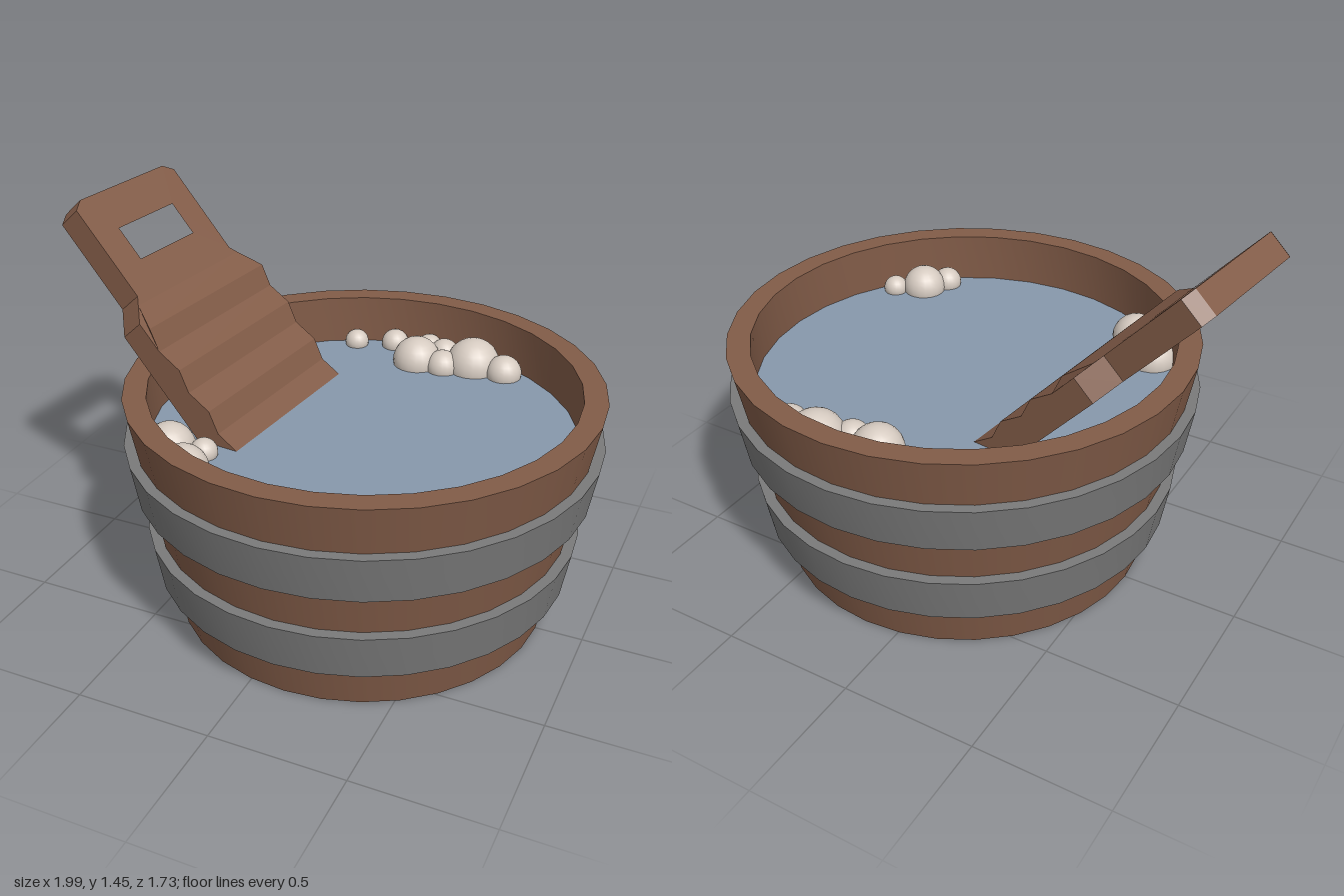
import * as THREE from 'three';
import { toCreasedNormals } from 'three/addons/utils/BufferGeometryUtils.js';

const paint = (name, color) => Object.assign(new THREE.MeshStandardMaterial({ color }), { name });

export function createModel() {
  const wood = paint('wood', 0x825c48);
  const iron = paint('iron', 0x7a7a7a);
  const waterBlue = paint('waterBlue', 0x8798ab);
  const foamWhite = paint('foamWhite', 0xd6cbc1);

  const model = new THREE.Group();
  model.name = 'washtub';
  const tub = new THREE.Group();
  tub.name = 'tub';
  tub.position.x = 0.13;
  model.add(tub);

  const add = (parent, name, geometry, material) => {
    const mesh = new THREE.Mesh(geometry, material);
    mesh.name = name;
    parent.add(mesh);
    return mesh;
  };
  const lathe = (points) => toCreasedNormals(
    new THREE.LatheGeometry(points.map(([r, y]) => new THREE.Vector2(r, y)), 32), 0.5);

  // Tapered wooden wall with a flat rim and straight inside
  add(tub, 'barrel', lathe([[0, 0], [0.695, 0], [0.86, 0.875], [0.775, 0.875], [0.775, 0.66]]), wood);

  // Two tapered hoops standing proud of the wall
  for (const [name, low, high, rLow, rHigh] of [
    ['lowerHoop', 0.17, 0.345, 0.77, 0.8],
    ['upperHoop', 0.52, 0.695, 0.835, 0.865],
  ]) {
    add(tub, name, lathe([[rLow - 0.06, low], [rLow, low], [rHigh, high], [rHigh - 0.06, high]]), iron);
  }

  // Water surface
  const water = add(tub, 'water', new THREE.CircleGeometry(0.776, 32), waterBlue);
  water.rotation.x = -Math.PI / 2;
  water.position.y = 0.685;

  // Foam bubbles floating against the wall: x, z, radius
  const foam = new THREE.Group();
  foam.name = 'foam';
  model.add(foam);
  [
    [-0.18, -0.665, 0.048], [-0.03, -0.715, 0.055], [0.115, -0.73, 0.053], [0.11, -0.595, 0.095],
    [0.19, -0.7, 0.058], [0.225, -0.58, 0.065], [0.33, -0.645, 0.107], [0.465, -0.62, 0.07],
    [-0.43, 0.43, 0.093], [-0.305, 0.41, 0.05], [-0.31, 0.545, 0.09],
    [0.63, 0.485, 0.085], [0.57, 0.57, 0.057], [0.725, 0.415, 0.048],
  ].forEach(([x, z, r]) => {
    add(foam, 'bubble', new THREE.SphereGeometry(r, 20, 14), foamWhite).position.set(x, 0.7, z);
  });

  // Washboard: local x across, y up along the board, z out of its face
  const board = new THREE.Group();
  board.name = 'washboard';
  const yaw = 0.11;
  const tilt = THREE.MathUtils.degToRad(48);
  const across = new THREE.Vector3(Math.sin(yaw), 0, -Math.cos(yaw));
  const along = new THREE.Vector3(
    -Math.cos(yaw) * Math.cos(tilt), Math.sin(tilt), -Math.sin(yaw) * Math.cos(tilt));
  const out = across.clone().cross(along);
  board.quaternion.setFromRotationMatrix(new THREE.Matrix4().makeBasis(across, along, out));
  board.position.set(-0.89, 1.45, -0.095);
  model.add(board);

  // Plank with clipped top corners, sloping shoulders and a hand slot
  const narrow = 0.287, wide = 0.36, end = 1.15, thick = 0.1;
  const half = [[0.24, 0], [narrow, -0.03], [narrow, -0.4], [wide, -0.49], [wide, -end]];
  const outline = [...half, ...half.map(([x, y]) => [-x, y]).reverse()];
  const shape = new THREE.Shape(outline.map(([x, y]) => new THREE.Vector2(x, y)));
  shape.holes.push(new THREE.Path(
    [[-0.16, -0.15], [0.16, -0.15], [0.16, -0.285], [-0.16, -0.285]].map(([x, y]) => new THREE.Vector2(x, y))));
  const plank = new THREE.ExtrudeGeometry(shape, { depth: thick, bevelEnabled: false });
  plank.translate(0, 0, -thick);
  add(board, 'plank', plank, wood);

  // Sawtooth ridges across the wide part, narrowed to follow the shoulders
  const teeth = [[-0.005, -0.43]];
  for (let s = 0.43; s < 1.1; s += 0.178) teeth.push([0, -s], [0.026, -s - 0.095]);
  teeth.push([0, -end], [-0.005, -end]);
  const ridges = new THREE.ExtrudeGeometry(
    new THREE.Shape(teeth.map(([x, y]) => new THREE.Vector2(x, y))), { depth: 2 * wide, bevelEnabled: false });
  ridges.rotateY(-Math.PI / 2);
  ridges.translate(wide, 0, 0);
  const p = ridges.attributes.position;
  for (let i = 0; i < p.count; i++) {
    const t = THREE.MathUtils.clamp((-p.getY(i) - 0.4) / 0.09, 0, 1);
    const limit = narrow + (wide - narrow) * t;
    p.setX(i, THREE.MathUtils.clamp(p.getX(i), -limit, limit));
  }
  ridges.computeVertexNormals();
  add(board, 'ridges', ridges, wood);

  return model;
}
